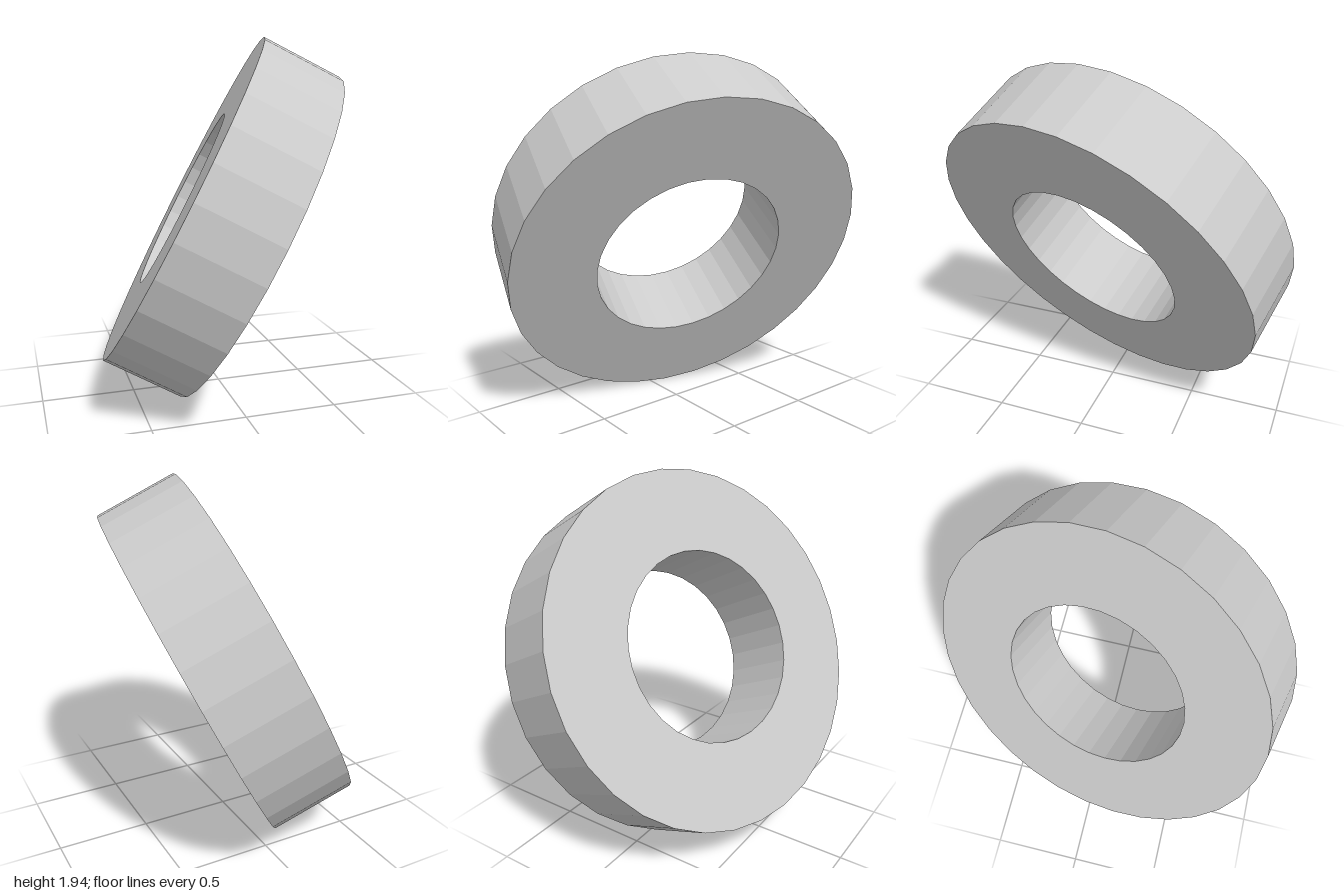
import * as THREE from 'three';

const SIDES = 32, OUTER = 0.975, INNER = 0.52, DEPTH = 0.456;

// regular polygon with a corner on local +y
function polygon(radius) {
  return Array.from({ length: SIDES }, (_, i) => {
    const a = (i / SIDES) * Math.PI * 2 + Math.PI / 2;
    return new THREE.Vector2(Math.cos(a) * radius, Math.sin(a) * radius);
  });
}

export function createModel() {
  const group = new THREE.Group();
  group.name = 'tiltedRing';

  // thick flat ring with a faceted rim and bore
  const shape = new THREE.Shape(polygon(OUTER));
  shape.holes.push(new THREE.Path(polygon(INNER)));
  const geometry = new THREE.ExtrudeGeometry(shape, { depth: DEPTH, bevelEnabled: false });
  geometry.translate(0, 0, -DEPTH / 2);

  const ring = new THREE.Mesh(
    geometry,
    new THREE.MeshStandardMaterial({ color: 0xcccccc, flatShading: true })
  );
  ring.name = 'ring';

  // tilt: local z is the ring axis, local y points to the topmost corner
  const axis = new THREE.Vector3(0.858, -0.456, 0.237).normalize();
  const side = new THREE.Vector3(0.418, 0.863, 0.145).cross(axis).normalize();
  const up = axis.clone().cross(side);
  ring.quaternion.setFromRotationMatrix(new THREE.Matrix4().makeBasis(side, up, axis));
  ring.position.y = 0.97;

  group.add(ring);
  return group;
}
